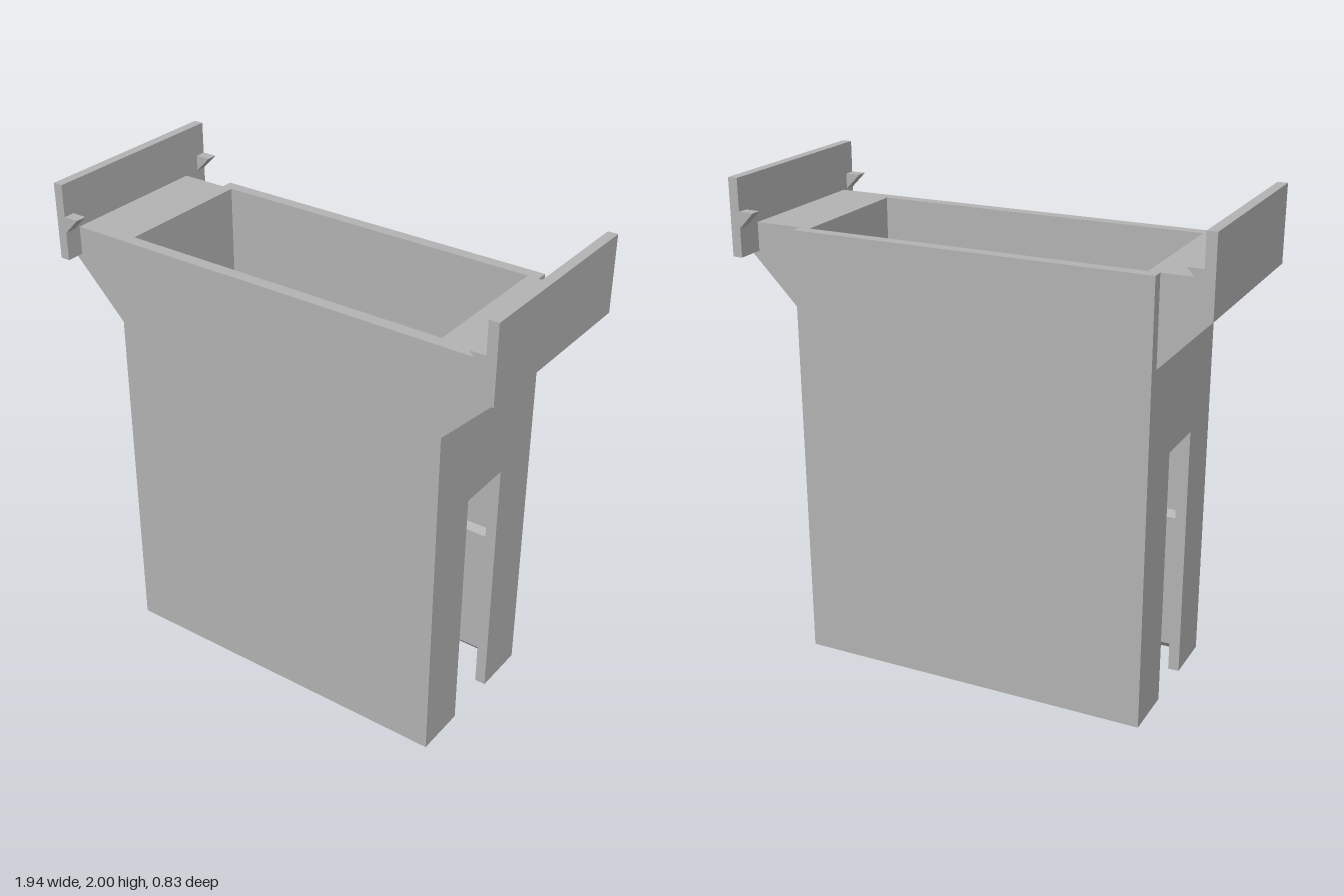
import * as THREE from 'three';

const gray = new THREE.MeshStandardMaterial({ color: 0xb2b2b2 });
gray.name = 'gray';

const shapeOf = (pts) => new THREE.Shape(pts.map(([x, y]) => new THREE.Vector2(x, y)));

// Profile of [x, y] points extruded from z0 to z1
function alongZ(pts, z0, z1) {
  const g = new THREE.ExtrudeGeometry(shapeOf(pts), { depth: z1 - z0, bevelEnabled: false });
  return g.translate(0, 0, z0);
}

// Profile of [z, y] points extruded from x0 to x1
function alongX(pts, x0, x1) {
  const g = new THREE.ExtrudeGeometry(shapeOf(pts.map(([z, y]) => [-z, y])), { depth: x1 - x0, bevelEnabled: false });
  return g.rotateY(Math.PI / 2).translate(x0, 0, 0);
}

export function createModel() {
  const model = new THREE.Group();
  const add = (name, geometry) => {
    const mesh = new THREE.Mesh(geometry, gray);
    mesh.name = name;
    model.add(mesh);
  };

  const W = 0.735, IN = 0.69, TOP = 1.805;   // half width, inner half width, rim height
  const ZF = 0.34, ZB = -0.345;              // front and back faces
  const IF = 0.29, IB = -0.297;              // inner faces of the front and back walls
  const ARM = 0.97, PLATE = 0.93;            // outer and inner x of the end plates

  // Front wall with its flared shoulders, and the plain back wall
  add('frontWall', alongZ([[-W, 0], [W, 0], [W, 1.45], [ARM, 1.69], [ARM, 1.69], [PLATE, 1.69], [PLATE, TOP],
    [-PLATE, TOP], [-PLATE, 1.69], [-ARM, 1.69], [-W, 1.45]].filter((p, i) => i !== 4), IF, ZF));
  add('backWall', alongZ([[-W, 0], [W, 0], [W, TOP], [-W, TOP]], ZB, IB));

  // Thickened lower lining inside both long walls, chamfered at both ends
  for (const [name, z, d] of [['frontLining', IF, -0.025], ['backLining', IB, 0.025]]) {
    add(name, alongX([[z, 0], [z + d, 0.03], [z + d, 0.615], [z, 0.64]], -IN, IN));
  }

  for (const s of [1, -1]) {
    const side = s > 0 ? 'left' : 'right';
    const span = (a, b) => (s > 0 ? [a, b] : [-b, -a]);
    const mirrored = (pts) => pts.map(([x, y]) => [s * x, y]);

    // End wall with an open slot rising from the bottom
    add(side + 'EndWall', alongX([[IB, 0], [-0.117, 0], [-0.117, 1.065], [0.12, 1.065], [0.12, 0],
      [IF, 0], [IF, TOP], [IB, TOP]], ...span(IN, W)));

    // Sloped shoulder carrying the plate
    add(side + 'Shoulder', alongZ(mirrored([[W, 1.45], [ARM, 1.69], [PLATE, 1.69], [PLATE, TOP], [W, TOP]]), IB, IF));

    // Upright end plate
    add(side + 'Plate', alongX([[-0.413, 1.69], [0.413, 1.69], [0.413, 2], [-0.413, 2]], ...span(PLATE, ARM)));

    // Wedge hooks at both ends of the plate
    for (const [name, z0, z1] of [['FrontHook', 0.365, 0.413], ['BackHook', -0.413, -0.368]]) {
      add(side + name, alongZ(mirrored([[PLATE, 1.805], [PLATE, 1.87], [0.867, 1.87]]), z0, z1));
    }
  }
  return model;
}
